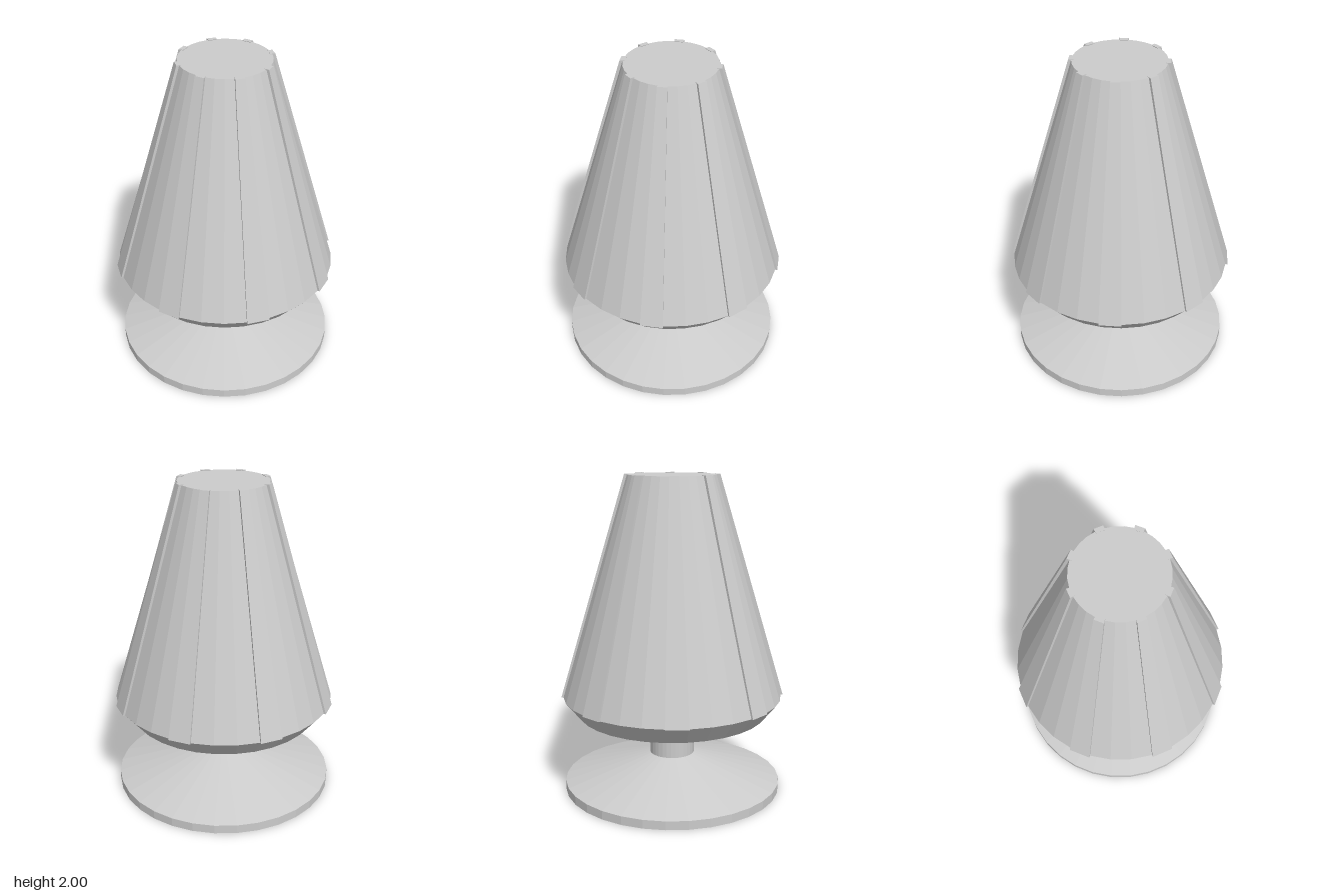
import * as THREE from 'three';

const SIDES = 32;
const STEP = (Math.PI * 2) / SIDES;
const grey = new THREE.MeshStandardMaterial({ color: 0xcccccc, flatShading: true });

function mesh(name, geometry, parent) {
  const m = new THREE.Mesh(geometry, grey);
  m.name = name;
  parent.add(m);
  return m;
}

function turned(points) {
  return new THREE.LatheGeometry(points.map(([r, y]) => new THREE.Vector2(r, y)), SIDES);
}

// A slat one facet wide: a box bent so x is the angle and z the radius
function slatGeometry() {
  const geo = new THREE.BoxGeometry(1, 1, 1);
  const p = geo.attributes.position;
  for (let i = 0; i < p.count; i++) {
    const top = p.getY(i) > 0;
    const outer = p.getZ(i) > 0;
    const r = top ? (outer ? 0.292 : 0.262) : (outer ? 0.707 : 0.677);
    const a = p.getX(i) > 0 ? STEP : 0;
    p.setXYZ(i, Math.sin(a) * r, top ? 2 : 0.615, Math.cos(a) * r);
  }
  geo.computeVertexNormals();
  return geo;
}

export function createModel() {
  const lamp = new THREE.Group();
  lamp.name = 'tableLamp';

  // Sloped foot with a short upright rim
  mesh('base', turned([[0, 0], [0.693, 0], [0.693, 0.055], [0.143, 0.225], [0, 0.225]]), lamp);

  // Stem rising into the shade
  mesh('stem', turned([[0.143, 0.22], [0.143, 0.8], [0, 0.8]]), lamp);

  // Hollow shade: inner wall down, around the lip, outer wall up to the closed top
  mesh('shade', turned([
    [0, 1.96], [0.25, 1.96], [0.655, 0.615], [0.555, 0.5],
    [0.6, 0.5], [0.693, 0.615], [0.275, 1.997], [0, 1.997],
  ]), lamp);

  // Eight raised slats around the shade
  const slats = new THREE.Group();
  slats.name = 'shadeSlats';
  lamp.add(slats);
  const slat = slatGeometry();
  for (let i = 0; i < 8; i++) {
    mesh('slat', slat, slats).rotation.y = (i * Math.PI) / 4;
  }

  // Three thin arms holding the shade to the stem
  const arms = new THREE.Group();
  arms.name = 'shadeArms';
  lamp.add(arms);
  const arm = new THREE.BoxGeometry(0.025, 0.025, 0.47).translate(0, 0.5275, 0.365);
  for (let i = 0; i < 3; i++) {
    mesh('arm', arm, arms).rotation.y = Math.PI * 1.25 + (i * Math.PI * 2) / 3;
  }

  return lamp;
}
